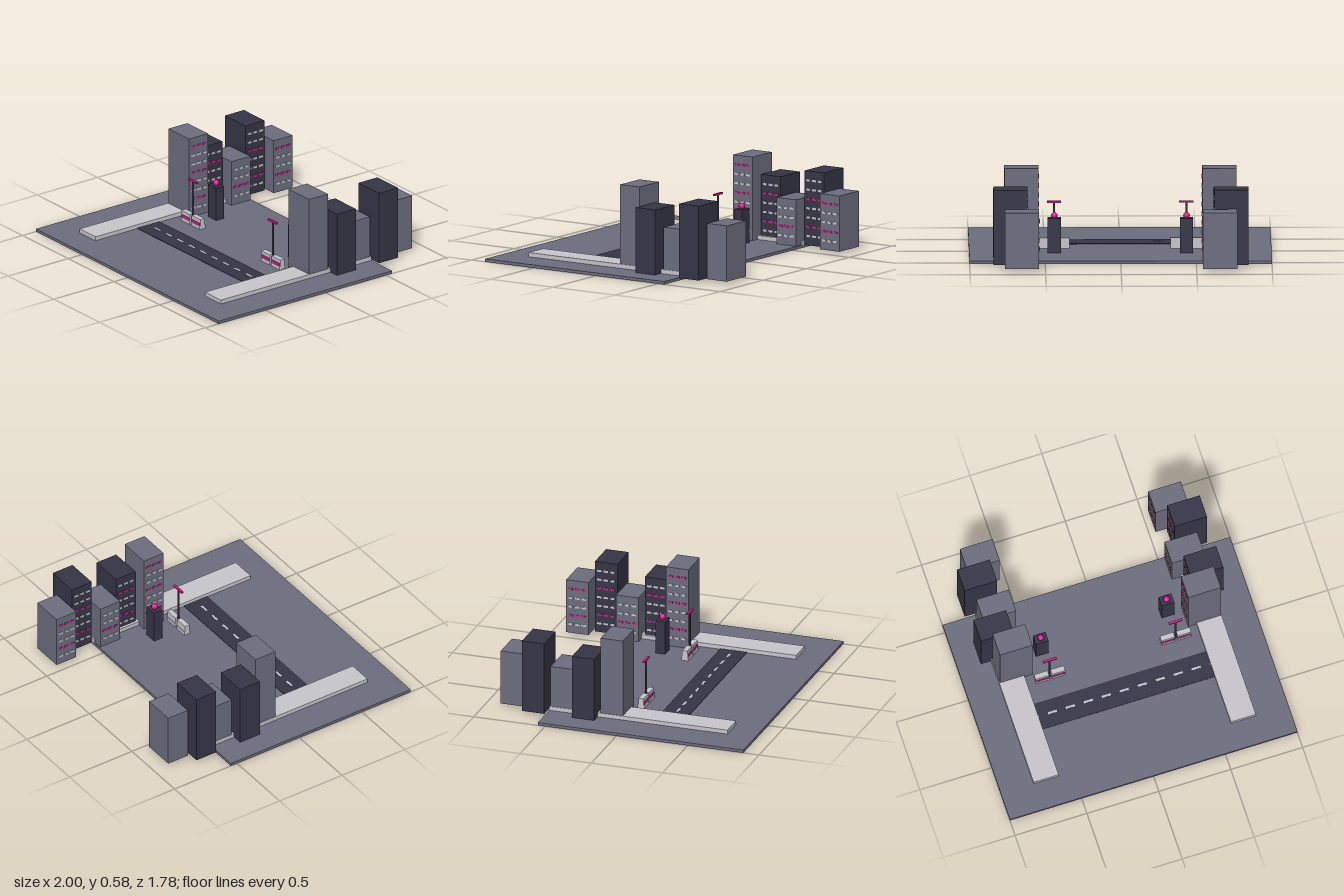
import * as THREE from 'three';

const mat = (name, color) => {
  const m = new THREE.MeshStandardMaterial({ color });
  m.name = name;
  return m;
};

export function createModel() {
  const grey = mat('slate grey', 0x6c6e7f);
  const dark = mat('dark indigo', 0x363547);
  const pale = mat('pale concrete', 0xc8c6cc);
  const pink = mat('neon pink', 0xd81b8c);

  const city = new THREE.Group();
  city.name = 'cityBlock';

  const add = (parent, name, geometry, material, x, y, z) => {
    const mesh = new THREE.Mesh(geometry, material);
    mesh.name = name;
    mesh.position.set(x, y, z);
    parent.add(mesh);
    return mesh;
  };
  // Box placed by the height of its underside
  const box = (parent, name, material, [w, h, d], x, bottom, z) =>
    add(parent, name, new THREE.BoxGeometry(w, h, d), material, x, bottom + h / 2, z);

  const GROUND = 0.02;
  const FLOOR = 0.0625;

  // Ground slab and road
  box(city, 'ground', grey, [2, GROUND, 1.44], 0, 0, 0.17);
  box(city, 'road', dark, [1.2, 0.004, 0.187], 0, GROUND, 0.26);
  for (let i = -5; i <= 5; i++) {
    box(city, 'laneDash', pale, [0.0625, 0.002, 0.015], i * 0.125, GROUND + 0.004, 0.26);
  }

  // Tower with rows of windows on the side facing the plaza
  const addTower = (side, index, floors) => {
    const odd = index % 2 === 1;
    const tower = new THREE.Group();
    tower.name = 'tower';
    tower.position.set(side * (odd ? 0.73 : 0.655), GROUND, -0.114 - index * 0.175);
    city.add(tower);
    box(tower, 'towerBody', odd ? dark : grey, [0.226, floors * FLOOR, 0.157], 0, 0, 0);
    for (let k = 1; k < floors; k++) {
      for (let c = -1; c <= 1; c++) {
        box(tower, 'window', k % 3 === 2 ? pink : pale, [0.006, 0.014, 0.03],
          -side * 0.114, k * FLOOR - 0.007, c * 0.046);
      }
    }
  };

  for (const side of [-1, 1]) {
    // Raised pavement
    box(city, 'pavement', pale, [0.174, 0.028, 1.25], side * 0.686, GROUND, 0.074);

    [9, 7, 5, 8, 6].forEach((floors, index) => addTower(side, index, floors));

    const x = side * 0.4375;

    // Pair of stepped barriers with a front stripe
    for (const s of [-1, 1]) {
      const bx = x + s * 0.0565;
      box(city, 'barrierFoot', pale, [0.094, 0.025, 0.046], bx, GROUND, 0.012);
      box(city, 'barrierWall', pale, [0.094, 0.045, 0.036], bx, GROUND + 0.025, 0.012);
      box(city, 'barrierStripe', pink, [0.084, 0.018, 0.006], bx, GROUND + 0.026, 0.031);
    }

    // Street lamp
    add(city, 'lampPost', new THREE.CylinderGeometry(0.007, 0.007, 0.305, 8), dark,
      x, GROUND + 0.1525, 0.012);
    box(city, 'lampBar', pink, [0.094, 0.012, 0.016], x, 0.323, 0.012);

    // Kiosk with a beacon on top
    box(city, 'kiosk', dark, [0.0875, 0.231, 0.066], x, GROUND, -0.18);
    add(city, 'beacon', new THREE.SphereGeometry(0.022, 12, 8), pink, x, 0.268, -0.18);
  }

  return city;
}
